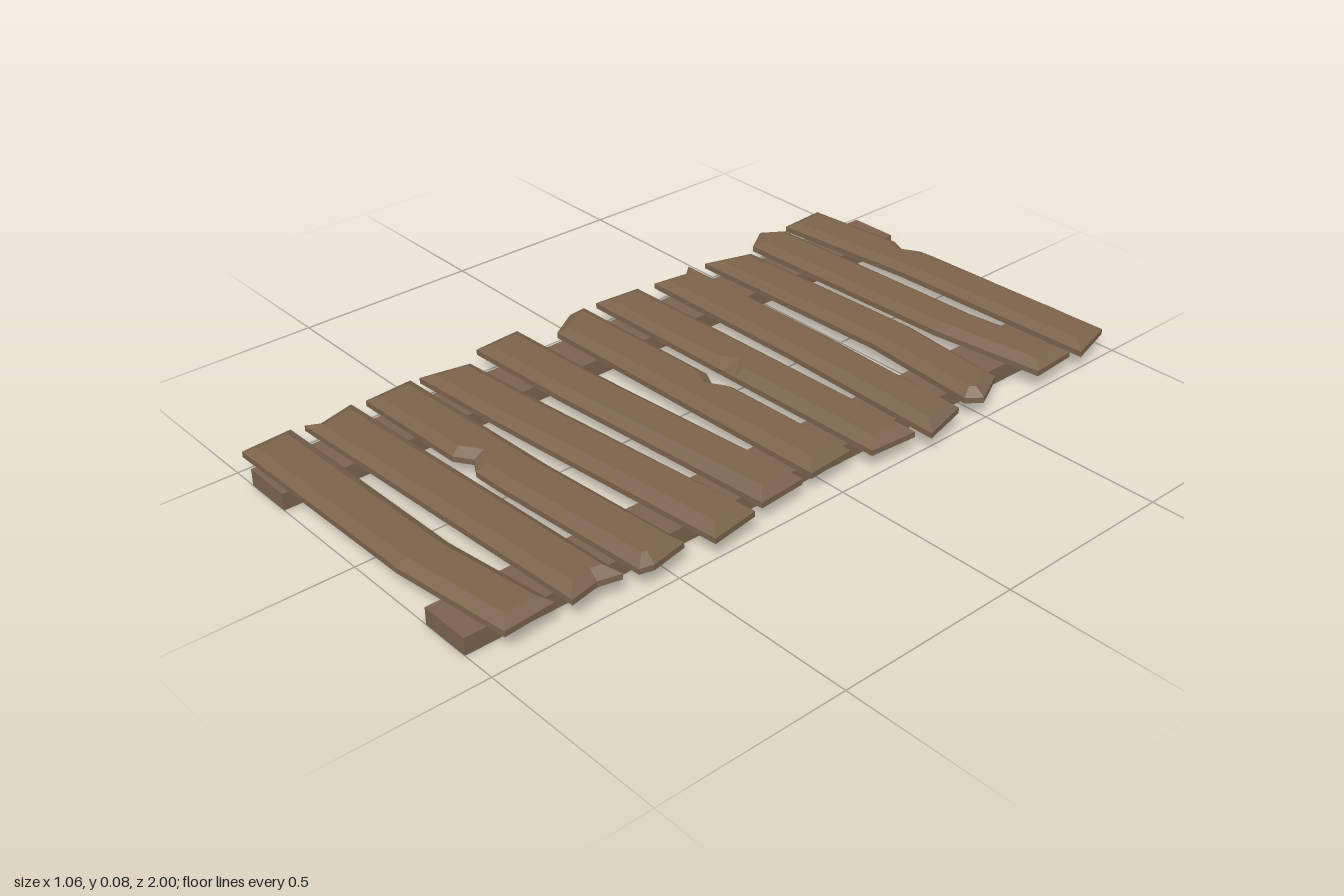
import * as THREE from 'three';

const BASE = 0.045, EDGE = 0.06, INSET = 0.026, HALF = 0.068;

// Boards from back to front. x: left and right end, z: centre line at each end,
// knee: [x, shift] bends the centre line, slant: x lean of each end,
// tipA / tipB: [place across, outward reach] on the -x / +x end,
// notch: [edge -1 back or 1 front, x, depth, bevel width].
const BOARDS = [
  { x: [-0.515, 0.495], z: [-0.86, -0.912], knee: [-0.1, -0.016], slant: [0.01, 0.04], notch: [-1, -0.19, 0.022, INSET] },
  { x: [-0.485, 0.5], z: [-0.702, -0.755], knee: [0.19, 0.02], tipA: [-0.1, 0.045] },
  { x: [-0.47, 0.46], z: [-0.53, -0.518], knee: [0.135, -0.025], slant: [-0.04, 0.02], tipB: [0.45, 0.035] },
  { x: [-0.5, 0.508], z: [-0.348, -0.338], knee: [0.03, -0.008], slant: [0.015, 0.035], tipA: [-0.5, -0.025] },
  { x: [-0.505, 0.49], z: [-0.158, -0.178], slant: [-0.01, -0.01], notch: [1, -0.02, 0, 0.055] },
  { x: [-0.48, 0.455], z: [0.02, -0.005], slant: [0.06, 0.01], tipA: [-0.25, 0.017], notch: [-1, 0.01, 0.025, INSET] },
  { x: [-0.522, 0.467], z: [0.228, 0.162], knee: [-0.2, 0.007] },
  { x: [-0.482, 0.495], z: [0.418, 0.332], knee: [-0.19, 0.005], slant: [-0.025, 0.02] },
  { x: [-0.495, 0.475], z: [0.578, 0.528], knee: [0.03, 0.01], tipB: [0.48, 0.012], notch: [1, -0.1, 0.028, INSET] },
  { x: [-0.495, 0.47], z: [0.75, 0.7], slant: [0.01, 0], tipA: [0.5, -0.02], tipB: [-0.15, -0.015] },
  { x: [-0.492, 0.457], z: [0.92, 0.868], knee: [0.135, 0.023] },
];

// Outline as { x, z, bevel }, running along the back edge and returning along the front.
function boardOutline({ x, z, knee, slant = [0.01, 0.01], tipA, tipB, notch }) {
  const centre = (px) => {
    const straight = (q) => THREE.MathUtils.mapLinear(q, x[0], x[1], z[0], z[1]);
    if (!knee) return straight(px);
    const end = px < knee[0] ? x[0] : x[1];
    return straight(px) + knee[1] * (px - end) / (knee[0] - end);
  };
  const point = (px, pz, bevel = INSET) => ({ x: px, z: pz, bevel });

  const longEdge = (side) => {
    const at = (px, depth = 0, bevel = INSET) => point(px, centre(px) + side * (HALF - depth), bevel);
    const corner = (e) => point(x[e] + side * slant[e] / 2, z[e] + side * HALF);
    const inner = knee ? [at(knee[0])] : [];
    if (notch && notch[0] === side) {
      inner.push(at(notch[1] - 0.045), at(notch[1], notch[2], notch[3]), at(notch[1] + 0.045));
    }
    inner.sort((a, b) => a.x - b.x);
    return [corner(0), ...inner, corner(1)];
  };
  const tip = (e, spec) => spec
    ? [point(x[e] + spec[0] * slant[e] / 2 + (e ? spec[1] : -spec[1]), z[e] + spec[0] * HALF)]
    : [];

  return [...longEdge(-1), ...tip(1, tipB), ...longEdge(1).reverse(), ...tip(0, tipA)];
}

// Moves every corner of an outline inward along its mitre.
function insetOutline(points) {
  const n = points.length;
  const normal = (a, b) => new THREE.Vector2(a.z - b.z, b.x - a.x).normalize();
  return points.map((p, i) => {
    const n1 = normal(points[(i + n - 1) % n], p);
    const n2 = normal(p, points[(i + 1) % n]);
    const k = p.bevel / Math.max(0.6, 1 + n1.dot(n2));
    return new THREE.Vector2(p.x + (n1.x + n2.x) * k, p.z + (n1.y + n2.y) * k);
  });
}

// A chamfered board: bottom ring, edge ring and an inset top ring that rises to +x.
function boardGeometry(outline, topHeight) {
  const outer = outline.map((p) => new THREE.Vector2(p.x, p.z));
  const inner = insetOutline(outline);
  const rings = [
    outer.map((v) => [v.x, BASE, v.y]),
    outer.map((v) => [v.x, EDGE, v.y]),
    inner.map((v) => [v.x, THREE.MathUtils.lerp(0.072, topHeight, v.x + 0.5), v.y]),
  ];
  const pos = [];
  const tri = (a, b, c) => pos.push(...a, ...b, ...c);

  // Walls and chamfer
  for (let r = 0; r < 2; r++) {
    for (let i = 0; i < outer.length; i++) {
      const j = (i + 1) % outer.length;
      tri(rings[r][i], rings[r + 1][i], rings[r + 1][j]);
      tri(rings[r][i], rings[r + 1][j], rings[r][j]);
    }
  }
  // Underside and top face
  for (const [a, b, c] of THREE.ShapeUtils.triangulateShape(outer, [])) {
    tri(rings[0][a], rings[0][b], rings[0][c]);
  }
  for (const [a, b, c] of THREE.ShapeUtils.triangulateShape(inner, [])) {
    tri(rings[2][a], rings[2][c], rings[2][b]);
  }
  const geometry = new THREE.BufferGeometry();
  geometry.setAttribute('position', new THREE.Float32BufferAttribute(pos, 3));
  geometry.computeVertexNormals();
  return geometry;
}

export function createModel() {
  const group = new THREE.Group();
  group.name = 'woodenWalkway';
  const wood = new THREE.MeshStandardMaterial({ color: 0x7b644d });
  wood.name = 'brown wood';

  // Two long rails under the boards
  for (const [name, x] of [['rightRail', -0.36], ['leftRail', 0.34]]) {
    const rail = new THREE.Mesh(new THREE.BoxGeometry(0.138, BASE, 2), wood);
    rail.position.set(x, BASE / 2, 0);
    rail.name = name;
    group.add(rail);
  }

  // Worn boards, slightly thicker towards the middle of the walkway
  BOARDS.forEach((board, i) => {
    const topHeight = 0.085 - 0.0015 * Math.abs(i - 6);
    const mesh = new THREE.Mesh(boardGeometry(boardOutline(board), topHeight), wood);
    mesh.name = `board${i + 1}`;
    group.add(mesh);
  });
  return group;
}
